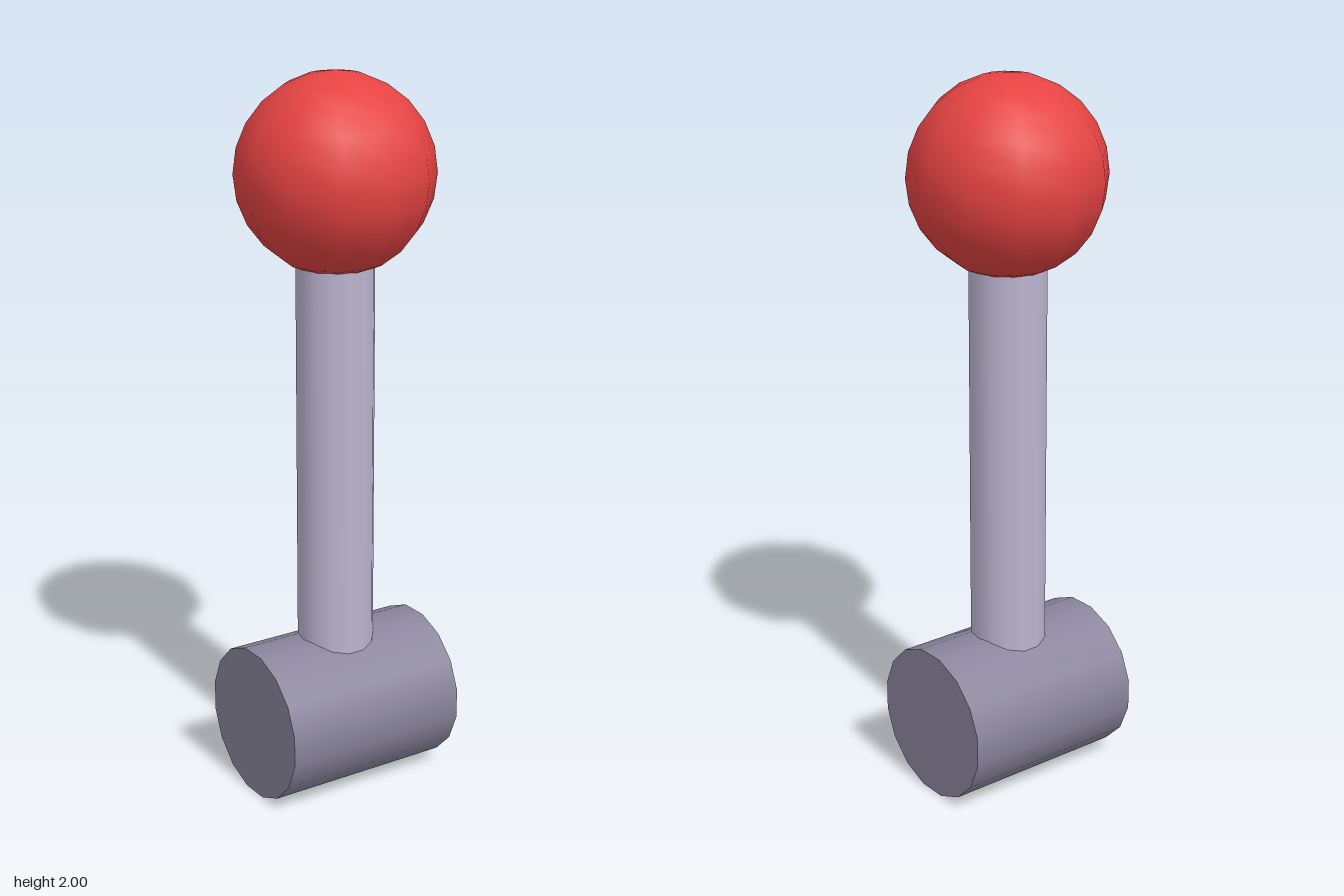
import * as THREE from 'three';

export function createModel() {
  const group = new THREE.Group();
  const material = (name, color) => {
    const m = new THREE.MeshStandardMaterial({ color });
    m.name = name;
    return m;
  };
  const darkMetal = material('darkMetal', 0x8a859c);
  const lightMetal = material('lightMetal', 0xbcb5d0);
  const red = material('red', 0xe64343);

  const add = (name, geometry, mat, y) => {
    const mesh = new THREE.Mesh(geometry, mat);
    mesh.name = name;
    mesh.position.y = y;
    group.add(mesh);
  };

  // Pivot barrel lying along x, resting on a flat side
  const barrel = new THREE.CylinderGeometry(0.2175, 0.2175, 0.546, 16);
  barrel.rotateY(Math.PI / 16).rotateZ(Math.PI / 2);
  add('pivotBarrel', barrel, darkMetal, 0.2135);

  // Upright shaft from inside the barrel to inside the knob
  const shaft = new THREE.CylinderGeometry(0.107, 0.107, 1.4, 14);
  shaft.rotateY(Math.PI / 2);
  add('shaft', shaft, lightMetal, 0.95);

  // Ball knob
  add('knob', new THREE.SphereGeometry(0.269, 12, 12), red, 1.731);

  return group;
}
